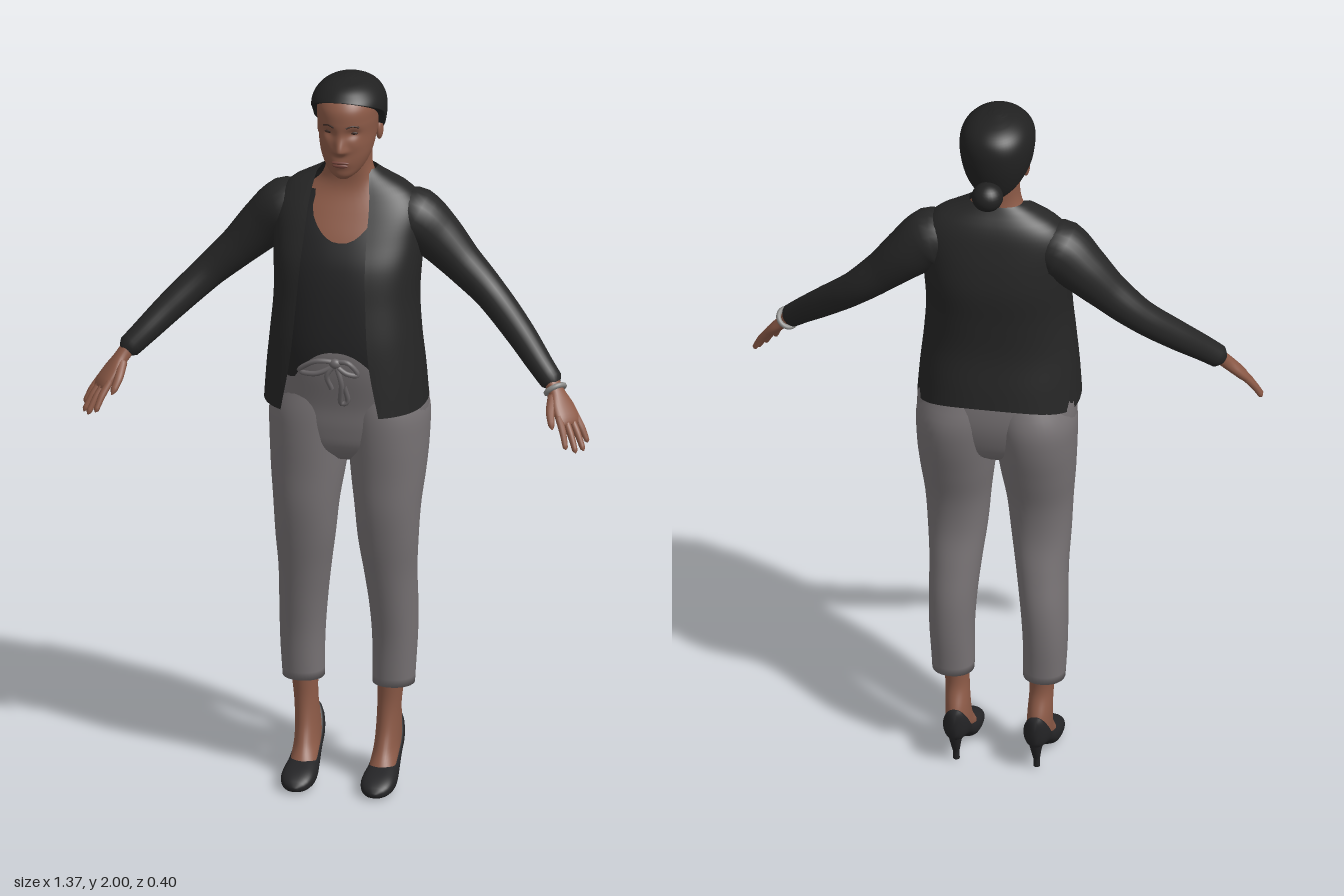
import * as THREE from 'three';
import { mergeVertices } from 'three/addons/utils/BufferGeometryUtils.js';

const { lerp, clamp } = THREE.MathUtils;
const V = (x, y, z) => new THREE.Vector3(x, y, z);

// Smooth interpolation of profile rows by their first number.
function at(rows, y) {
  let i = 0;
  while (i < rows.length - 2 && y > rows[i + 1][0]) i++;
  const a = rows[i], b = rows[i + 1], p = rows[i - 1] || a, n = rows[i + 2] || b;
  const h = b[0] - a[0], t = clamp((y - a[0]) / h, 0, 1), t2 = t * t, t3 = t2 * t;
  return a.map((v, k) => {
    const m0 = (b[k] - p[k]) / (b[0] - p[0]) * h, m1 = (n[k] - v) / (n[0] - a[0]) * h;
    return v * (2 * t3 - 3 * t2 + 1) + m0 * (t3 - 2 * t2 + t) + b[k] * (3 * t2 - 2 * t3) + m1 * (t3 - t2);
  });
}

// Point on a rounded cross-section; rows are [y, centreX, halfWidth, zFront, zBack], angle 0 is the front.
function ringPoint(rows, y, a, p) {
  const [, cx, rx, zf, zb] = at(rows, y), s = Math.sin(a), c = Math.cos(a);
  return V(cx + rx * Math.sign(s) * Math.abs(s) ** (2 / p), y,
    (zf + zb) / 2 + (zf - zb) / 2 * Math.sign(c) * Math.abs(c) ** (2 / p));
}

// Skin a surface over profile rows, optionally with shaped edges or an open front.
function surf(rows, { p = 2, seg = 40, steps = 28, lo, hi, from, to, cap = true, warp } = {}) {
  const y0 = rows[0][0], y1 = rows[rows.length - 1][0], pos = [], idx = [];
  const n = from ? seg + 1 : seg;
  for (let j = 0; j <= steps; j++) for (let i = 0; i < n; i++) {
    const v = j / steps, base = lerp(y0, y1, v);
    const a = from ? lerp(from(base), to(base), i / seg) : i / seg * Math.PI * 2;
    const y = lerp(lo ? lo(a) : y0, hi ? hi(a) : y1, v);
    const q = ringPoint(rows, y, a, p);
    if (warp) warp(q, v);
    pos.push(q.x, q.y, q.z);
  }
  for (let j = 0; j < steps; j++) for (let i = 0; i < seg; i++) {
    const k = (i + 1) % n, a = j * n + i, b = j * n + k, c = a + n, d = b + n;
    idx.push(a, b, d, a, d, c);
  }
  if (cap && !from) for (const j of [0, steps]) {
    const c = V(0, 0, 0), o = j * n, m = pos.length / 3;
    for (let i = 0; i < n; i++) c.add(V(pos[(o + i) * 3], pos[(o + i) * 3 + 1], pos[(o + i) * 3 + 2]).divideScalar(n));
    pos.push(c.x, c.y, c.z);
    for (let i = 0; i < n; i++) {
      const k = (i + 1) % n;
      idx.push(m, o + (j ? i : k), o + (j ? k : i));
    }
  }
  const g = new THREE.BufferGeometry();
  g.setAttribute('position', new THREE.Float32BufferAttribute(pos, 3));
  g.setIndex(idx);
  g.computeVertexNormals();
  return g;
}

// Tapered tube through [x, y, z, radius] points.
function limb(pts, steps = 24, seg = 16, closed = false) {
  const curve = new THREE.CatmullRomCurve3(pts.map(q => V(q[0], q[1], q[2])), closed);
  let g = new THREE.TubeGeometry(curve, steps, 1, seg, closed);
  const pos = g.attributes.position, last = pts.length - 1;
  for (let i = 0; i <= steps; i++) {
    const u = i / steps, c = curve.getPointAt(u), t = curve.getUtoTmapping(u) * last;
    const k = Math.min(Math.floor(t), last - 1), r = lerp(pts[k][3], pts[k + 1][3], t - k);
    for (let j = 0; j <= seg; j++) {
      const m = i * (seg + 1) + j, q = V().fromBufferAttribute(pos, m).sub(c).multiplyScalar(r).add(c);
      pos.setXYZ(m, q.x, q.y, q.z);
    }
  }
  g.deleteAttribute('uv');
  g.deleteAttribute('normal');
  g = mergeVertices(g, 1e-5);
  g.computeVertexNormals();
  return g;
}

const blob = (x, y, z, sx, sy, sz) => new THREE.SphereGeometry(1, 24, 16).scale(sx, sy, sz).translate(x, y, z);

function mirror(geo) {
  const g = geo.clone().scale(-1, 1, 1), ix = g.index.array;
  for (let i = 0; i < ix.length; i += 3) [ix[i], ix[i + 1]] = [ix[i + 1], ix[i]];
  return g;
}

// The lower legs stand slightly to the right.
function lean(g) {
  const p = g.attributes.position;
  for (let i = 0; i < p.count; i++) p.setX(i, p.getX(i) - 0.012 * clamp((0.95 - p.getY(i)) / 0.6, 0, 1));
  return g;
}

export function createModel() {
  const model = new THREE.Group();
  const mat = (name, color, side = THREE.FrontSide) => Object.assign(new THREE.MeshStandardMaterial({ color, side }), { name });
  const skin = mat('skin', 0x8c5a47), hairMat = mat('hair', 0x212121, THREE.DoubleSide);
  const jacketMat = mat('jacket', 0x262626, THREE.DoubleSide), shirtMat = mat('shirt', 0x232324, THREE.DoubleSide);
  const trouserMat = mat('trousers', 0x777274), shoeMat = mat('shoes', 0x242426);
  const cordMat = mat('cord', 0x676365), metal = mat('bracelet', 0x8b8b89);
  const lipMat = mat('lips', 0x74443a), dark = mat('eyes', 0x3a2822);
  const add = (name, geo, m) => {
    const mesh = new THREE.Mesh(geo, m);
    mesh.name = name;
    model.add(mesh);
  };
  const pair = (name, geo, m, post = g => g) => {
    const other = mirror(geo);
    add('left' + name, post(geo), m);
    add('right' + name, post(other), m);
  };

  // Trousers
  add('trouserHips', surf([[.93, 0, .08, .02, -.08], [.97, 0, .17, .062, -.13], [1.03, 0, .205, .08, -.158],
    [1.1, 0, .213, .09, -.17], [1.2, 0, .2, .115, -.163], [1.27, 0, .18, .125, -.15], [1.29, 0, .17, .12, -.14]], { p: 2.3 }), trouserMat);
  pair('TrouserLeg', surf([[.272, .122, .056, -.03, -.14], [.4, .125, .06, -.015, -.15], [.5, .122, .064, .005, -.148],
    [.6, .116, .07, .027, -.13], [.7, .112, .08, .05, -.112], [.8, .11, .088, .068, -.118], [.9, .108, .1, .076, -.145],
    [1, .106, .108, .085, -.172], [1.08, .1, .112, .088, -.18], [1.16, .08, .1, .08, -.16]], { p: 2.1, steps: 40 }), trouserMat, lean);

  // Feet and heeled shoes
  pair('Foot', surf([[.04, .107, .034, .03, -.02], [.06, .107, .035, .02, -.06], [.1, .108, .034, -.005, -.138],
    [.15, .11, .033, -.025, -.138], [.22, .113, .032, -.035, -.112], [.3, .118, .037, -.03, -.118]]), skin, lean);
  const shoe = surf([[-.162, .108, .012, -.095, -.165], [-.15, .108, .027, -.078, -.174], [-.12, .108, .036, -.07, -.145],
    [-.08, .108, .037, -.05, -.1], [-.02, .108, .042, -.008, -.072], [.02, .108, .046, 0, -.062], [.06, .108, .044, 0, -.05],
    [.09, .108, .03, -.002, -.034], [.102, .108, .01, -.008, -.02]], { p: 2.4 }).rotateX(Math.PI / 2);
  pair('Shoe', shoe, shoeMat, lean);
  pair('ShoeHeel', limb([[.108, .1, -.137, .022], [.108, .06, -.131, .014], [.108, .03, -.124, .009],
    [.108, .003, -.12, .009], [.108, 0, -.12, .001]]), shoeMat, lean);

  // Neck and chest, with the scooped shirt over them
  add('neckAndChest', surf([[1.5, 0, .175, .1, -.145], [1.57, 0, .178, .07, -.14], [1.63, 0, .168, .037, -.13],
    [1.68, 0, .11, .011, -.106], [1.71, 0, .078, .005, -.097], [1.75, 0, .062, .01, -.092], [1.8, 0, .06, .02, -.095],
    [1.84, 0, .058, .02, -.09]], { p: 2.2 }), skin);
  add('shirt', surf([[1.17, 0, .185, .127, -.14], [1.28, 0, .183, .138, -.145], [1.4, 0, .18, .13, -.15], [1.5, 0, .185, .11, -.155],
    [1.57, 0, .187, .08, -.15], [1.63, 0, .18, .045, -.138], [1.69, 0, .125, .013, -.11]], {
    p: 2.3, seg: 80, steps: 40, cap: false,
    lo: a => 1.275 - .09 * Math.min(1, (Math.sin(a) / .6) ** 2),
    hi: a => 1.565 + .12 * Math.min(1, (Math.sin(a) / .55) ** 2),
  }), shirtMat);

  // Open jacket
  const jacket = [[1.105, 0, .217, .176, -.185], [1.2, 0, .21, .172, -.175], [1.3, 0, .2, .165, -.162], [1.4, 0, .193, .148, -.165],
    [1.5, 0, .197, .125, -.172], [1.57, 0, .2, .09, -.165], [1.63, 0, .2, .055, -.152], [1.67, 0, .18, .03, -.14],
    [1.7, 0, .145, .012, -.125], [1.72, 0, .105, 0, -.11], [1.74, 0, .072, -.01, -.098]];
  const opening = [[1.1, .135], [1.25, .108], [1.4, .095], [1.58, .085], [1.66, .082], [1.74, .07]];
  const edge = (y, shift) => Math.asin(Math.min(1, ((at(opening, y)[1] + shift) / at(jacket, y)[2]) ** 1.2));
  add('jacketBody', surf(jacket, {
    p: 2.4, seg: 72, steps: 44, lo: a => 1.105 + .045 * Math.max(0, -Math.cos(a)) ** 2,
    from: y => edge(y, -.013), to: y => Math.PI * 2 - edge(y, .013),
  }), jacketMat);
  pair('Sleeve', limb([[.1, 1.615, -.06, .058], [.17, 1.604, -.06, .082], [.23, 1.555, -.065, .07], [.3, 1.485, -.06, .055],
    [.38, 1.41, -.045, .045], [.47, 1.325, .005, .04], [.54, 1.255, .055, .034], [.58, 1.215, .08, .03], [.582, 1.213, .081, .02]], 44, 24), jacketMat);

  // Hands, built along their own axis and set at the wrist
  const D = V(.105, -.155, .095).normalize(), N = V(.6, -.1, -.78).cross(D).normalize(), W = D.clone().cross(N);
  const place = new THREE.Matrix4().makeBasis(W, D, N).setPosition(.575, 1.22, .08);
  pair('Palm', surf([[-.02, 0, .021, .019, -.019], [.03, 0, .023, .018, -.018], [.07, 0, .035, .016, -.016],
    [.11, 0, .038, .013, -.013], [.128, 0, .03, .006, -.007]], { p: 2.3, seg: 24, steps: 16 }).applyMatrix4(place), skin);
  [[-.029, .19], [-.01, .205], [.01, .203], [.028, .182]].forEach(([w, tip], i) =>
    pair('Finger' + (i + 1), limb([[w, .1, 0, .01], [w * 1.2, (tip + .1) / 2, .003, .0095], [w * 1.4, tip - .006, .011, .007],
      [w * 1.42, tip, .012, .001]], 14, 10).applyMatrix4(place), skin));
  pair('Thumb', limb([[-.015, .04, .004, .014], [-.042, .08, .008, .012], [-.053, .115, .012, .009], [-.056, .128, .013, .001]], 14, 10)
    .applyMatrix4(place), skin);
  add('bracelet', new THREE.TorusGeometry(.026, .007, 10, 28).rotateX(Math.PI / 2).translate(0, .022, 0).applyMatrix4(place), metal);

  // Drawstring bow at the waist
  const cord = (name, pts, closed) => add(name, limb(pts.map(q => [...q, .007]), 28, 8, closed), cordMat);
  cord('bowLoopRight', [[0, 1.245, .136], [-.05, 1.25, .142], [-.1, 1.215, .128], [-.05, 1.215, .142]], true);
  cord('bowLoopLeft', [[0, 1.245, .136], [.035, 1.25, .14], [.06, 1.215, .132], [.03, 1.22, .14]], true);
  cord('bowTailRight', [[0, 1.245, .138], [-.022, 1.21, .14], [-.012, 1.17, .128]]);
  cord('bowTailLeft', [[0, 1.245, .138], [.016, 1.19, .136], [.012, 1.125, .116], [.028, 1.13, .114], [.022, 1.18, .128]]);
  add('bowKnot', blob(0, 1.245, .138, .016, .014, .012), cordMat);

  // Head with nose, brow and jaw shaped into it
  const head = [[1.738, 0, .018, .055, 0], [1.75, 0, .035, .067, -.03], [1.77, 0, .052, .071, -.06], [1.8, 0, .066, .076, -.09],
    [1.83, 0, .073, .077, -.11], [1.86, 0, .077, .078, -.13], [1.9, 0, .081, .082, -.14], [1.94, 0, .08, .076, -.145],
    [1.97, 0, .062, .048, -.125], [1.985, 0, .03, 0, -.09]];
  const bell = (d, w) => Math.exp(-((d / w) ** 2));
  const bump = (x, y) => .02 * bell(x, .013 + .004 * bell(y - 1.823, .012)) * bell(y - 1.826, y < 1.826 ? .011 : .032)
    - .009 * bell(Math.abs(x) - .033, .017) * bell(y - 1.872, .013) + .004 * bell(x, .025) * bell(y - 1.787, .014)
    + .003 * bell(Math.abs(x) - .04, .02) * bell(y - 1.84, .02);
  add('head', surf(head, { p: 2.15, seg: 120, steps: 90, warp: q => { if (q.z > 0) q.z += bump(q.x, q.y); } }), skin);
  const faceZ = (x, y) => {
    const [, , rx, zf, zb] = at(head, y);
    return (zf + zb) / 2 + (zf - zb) / 2 * (1 - (x / rx) ** 2.15) ** (1 / 2.15) + bump(x, y);
  };
  pair('Eye', blob(.032, 1.874, faceZ(.032, 1.874) - .001, .013, .0045, .004), dark);
  pair('Eyebrow', limb([.016, .032, .048].map((x, i) => [x, [1.891, 1.896, 1.891][i], faceZ(x, 1.893), .0025]), 10, 8), dark);
  add('upperLip', blob(0, 1.791, faceZ(0, 1.791) - .003, .024, .005, .006), lipMat);
  add('lowerLip', blob(0, 1.782, faceZ(0, 1.782) - .003, .021, .006, .006), lipMat);
  pair('Ear', blob(.079, 1.848, -.05, .01, .028, .017), skin);

  // Swept-back hair and low bun
  add('hair', surf([[1.75, 0, .05, 0, -.1], [1.8, 0, .072, .03, -.132], [1.85, 0, .09, .06, -.148], [1.9, 0, .099, .075, -.155],
    [1.94, 0, .097, .083, -.152], [1.97, 0, .08, .062, -.135], [1.99, 0, .05, .03, -.1], [2, 0, .012, -.02, -.05]], {
    p: 2.1, seg: 64, steps: 40,
    lo: a => Math.cos(a) > 0 ? 1.865 + .09 * Math.sqrt(Math.cos(a)) : 1.865 + .1 * Math.cos(a),
    warp: (q, v) => {
      const k = 1 - .18 * Math.max(0, 1 - v / .1) ** 2;
      q.x *= k;
      q.z = (q.z + .035) * k - .035;
    },
    cap: false,
  }), hairMat);
  add('hairCrown', blob(0, 1.994, -.035, .03, .006, .035), hairMat);
  add('hairBun', blob(.006, 1.812, -.16, .042, .04, .041), hairMat);
  return model;
}
